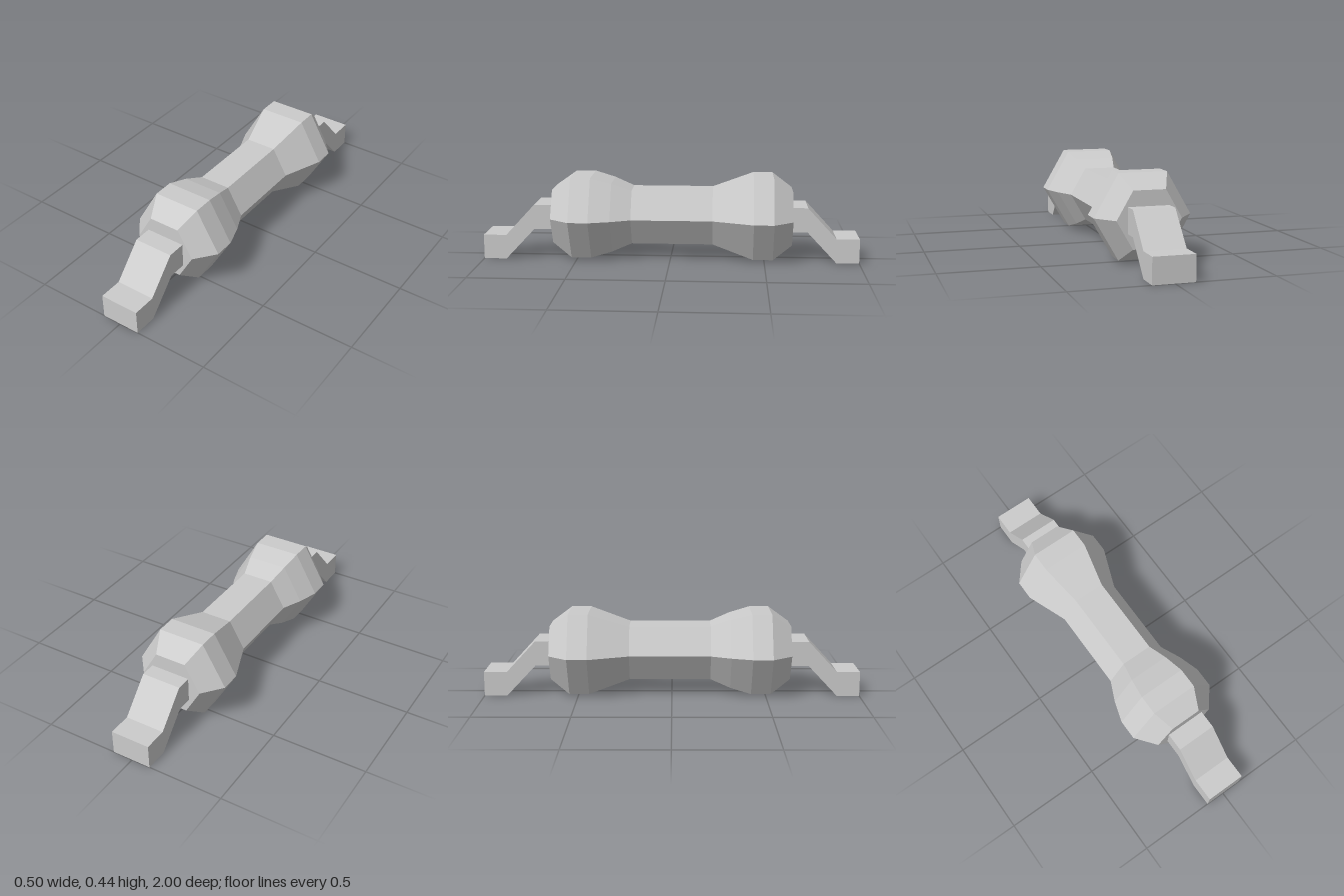
import * as THREE from 'three';

const material = new THREE.MeshStandardMaterial({ color: 0xcccccc, flatShading: true });

// Six-sided grip turned along z, thicker towards both ends
function createGrip() {
  const profile = [
    [0, -0.647], [0.165, -0.647], [0.248, -0.545], [0.248, -0.44], [0.165, -0.225],
    [0.165, 0.205], [0.213, 0.31], [0.248, 0.42], [0.248, 0.525], [0.165, 0.63], [0, 0.63],
  ].map(([r, z]) => new THREE.Vector2(r, z));
  const geometry = new THREE.LatheGeometry(profile, 6, Math.PI / 2);
  geometry.rotateX(Math.PI / 2);
  const grip = new THREE.Mesh(geometry, material);
  grip.name = 'grip';
  grip.position.y = 0.23;
  return grip;
}

// Cranked bracket: side outline (distance from centre, height) extruded across x
function createBracket(name, direction) {
  const width = 0.21;
  const outline = [
    [0.62, 0.165], [0.725, 0.165], [0.88, 0], [1, 0],
    [1, 0.13], [0.878, 0.13], [0.725, 0.295], [0.62, 0.295],
  ].map(([d, y]) => new THREE.Vector2(d, y));
  const geometry = new THREE.ExtrudeGeometry(new THREE.Shape(outline), { depth: width, bevelEnabled: false });
  geometry.translate(0, 0, -width / 2);
  geometry.rotateY(-direction * Math.PI / 2);
  const bracket = new THREE.Mesh(geometry, material);
  bracket.name = name;
  bracket.position.x = 0.004;
  return bracket;
}

export function createModel() {
  const model = new THREE.Group();
  model.name = 'handle';
  model.add(createGrip(), createBracket('frontBracket', 1), createBracket('backBracket', -1));
  return model;
}
